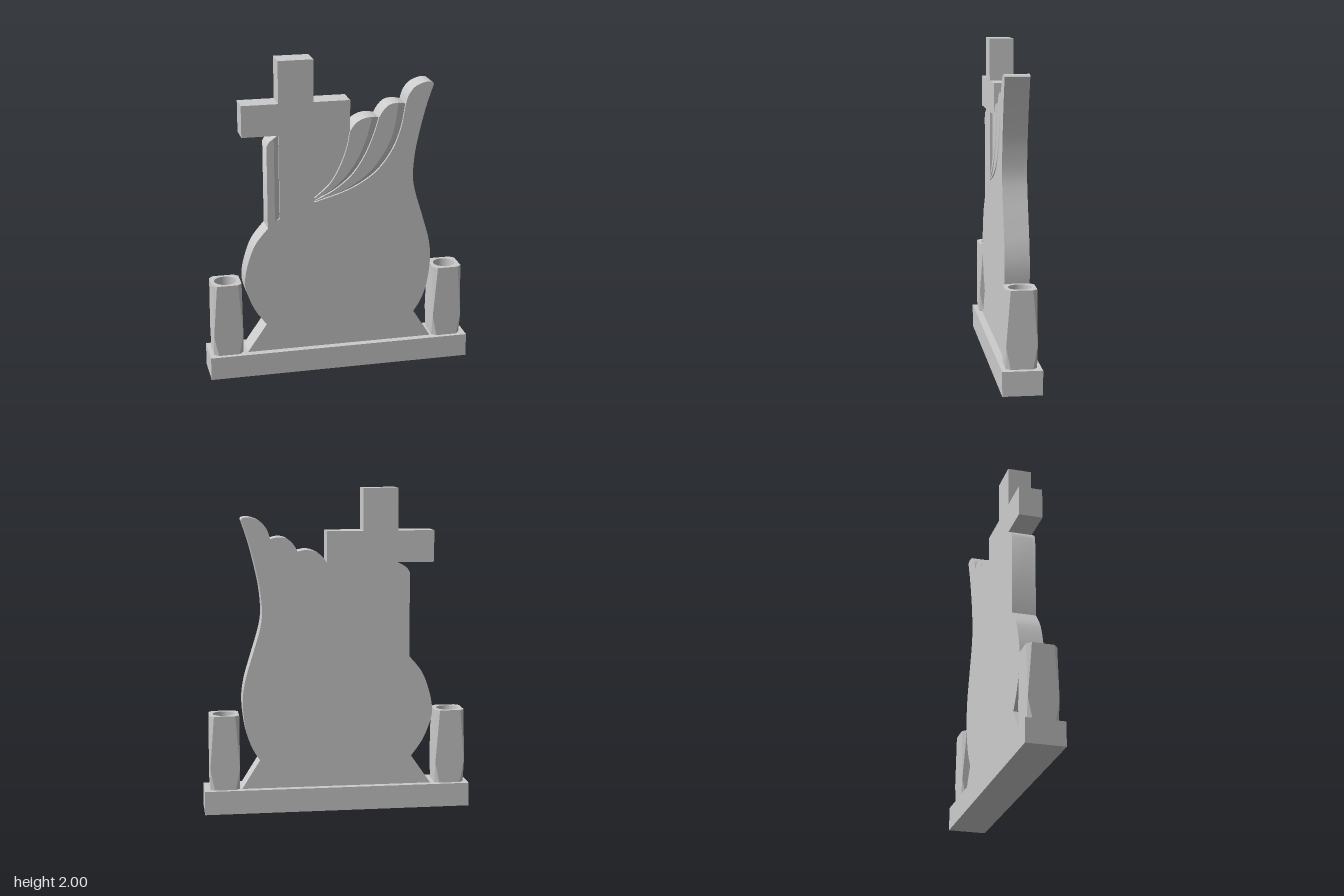
import * as THREE from 'three';
import { toCreasedNormals } from 'three/addons/utils/BufferGeometryUtils.js';

const BACK = -0.074, STEP = 0.058, FRONT = 0.074, BASE_TOP = 0.147;
const SUB = 6; // samples per spline span

const material = new THREE.MeshStandardMaterial({ color: 0xcccccc });
const openMaterial = new THREE.MeshStandardMaterial({ color: 0xcccccc, side: THREE.DoubleSide });

const toVectors = (pts) => pts.map(([x, y]) => new THREE.Vector2(x, y));
const smooth = (pts) => new THREE.SplineCurve(toVectors(pts)).getPoints((pts.length - 1) * SUB);
const reversed = (pts) => [...pts].reverse();

function addMesh(parent, name, geometry, mat = material) {
  const mesh = new THREE.Mesh(geometry, mat);
  mesh.name = name;
  parent.add(mesh);
  return mesh;
}

// Flat plate cut from an outline, between two depths
function plate(points, z0, z1) {
  const clean = points.filter((p, i) => i === 0 || p.distanceTo(points[i - 1]) > 1e-4);
  const g = new THREE.ExtrudeGeometry(new THREE.Shape(clean), { depth: z1 - z0, bevelEnabled: false });
  g.translate(0, 0, z0);
  return toCreasedNormals(g, 0.5);
}

// Sloping groove wall: falls from the front face (left curve) to the step (right curve)
function slope(left, right) {
  const pos = [], index = [];
  left.forEach((m, i) => {
    const r = right[i];
    pos.push(m.x, m.y, FRONT, r.x, r.y, STEP);
    if (i) {
      const a = 2 * i - 2;
      index.push(a, a + 2, a + 1, a + 1, a + 2, a + 3);
    }
  });
  // small triangle closing the upper end
  const n = pos.length / 3, m = left[0], r = right[0];
  pos.push(m.x, m.y, FRONT, r.x, r.y, STEP, m.x, m.y, STEP);
  index.push(n, n + 1, n + 2);
  const g = new THREE.BufferGeometry();
  g.setAttribute('position', new THREE.Float32BufferAttribute(pos, 3));
  g.setIndex(index);
  g.computeVertexNormals();
  return g;
}

// Square vase whose corner chamfers vanish at the widest level
function createVase() {
  const vase = new THREE.Group();
  const half = 0.092, top = 0.612, mouth = 0.069, depth = 0.3;
  const octagon = (c) => {
    const h = half, k = half - c;
    return [[h, -k], [h, k], [k, h], [-k, h], [-h, k], [-h, -k], [-k, -h], [k, -h]];
  };
  const levels = [[BASE_TOP, 0.027], [0.28, 0.0005], [top, 0.027]];
  const pos = [];
  for (let l = 0; l < 2; l++) {
    const [y0, c0] = levels[l], [y1, c1] = levels[l + 1];
    const lo = octagon(c0), hi = octagon(c1);
    for (let i = 0; i < 8; i++) {
      const j = (i + 1) % 8;
      const P = (p, y) => [p[0], y, -p[1]];
      const a = P(lo[i], y0), b = P(lo[j], y0), c = P(hi[j], y1), d = P(hi[i], y1);
      pos.push(...a, ...b, ...c, ...a, ...c, ...d);
    }
  }
  const body = new THREE.BufferGeometry();
  body.setAttribute('position', new THREE.Float32BufferAttribute(pos, 3));
  body.computeVertexNormals();
  addMesh(vase, 'vaseBody', body);

  const rim = new THREE.Shape(toVectors(octagon(0.027)));
  rim.holes.push(new THREE.Path().absarc(0, 0, mouth, 0, Math.PI * 2, true));
  addMesh(vase, 'vaseRim', new THREE.ShapeGeometry(rim, 16).rotateX(-Math.PI / 2).translate(0, top, 0));

  const bore = new THREE.CylinderGeometry(mouth, mouth, depth, 32, 1, true);
  addMesh(vase, 'vaseBore', bore.translate(0, top - depth / 2, 0), openMaterial);
  const floor = new THREE.CircleGeometry(mouth, 32).rotateX(-Math.PI / 2);
  addMesh(vase, 'vaseFloor', floor.translate(0, top - depth, 0));
  return vase;
}

export function createModel() {
  const model = new THREE.Group();
  model.name = 'gravestone';

  addMesh(model, 'base', new THREE.BoxGeometry(1.66, BASE_TOP, 0.237).translate(0, BASE_TOP / 2, 0));

  // Outline pieces, running clockwise from the lower left foot
  const leftSide = [
    ...toVectors([[-0.59, BASE_TOP]]),
    ...smooth([[-0.467, 0.325], [-0.54, 0.43], [-0.588, 0.55], [-0.598, 0.63],
      [-0.577, 0.74], [-0.53, 0.86], [-0.45, 0.96]]),
    ...smooth([[-0.45, 1.48], [-0.433, 1.508], [-0.405, 1.529]]),
  ];
  const cross = toVectors([[-0.375, 1.545], [-0.6, 1.545], [-0.6, 1.74], [-0.375, 1.74], [-0.375, 2],
    [-0.16, 2], [-0.16, 1.74], [0.065, 1.74], [0.065, 1.545]]);
  const tip1 = smooth([[0.065, 1.545], [0.1, 1.593], [0.15, 1.62], [0.2, 1.626], [0.245, 1.618]]);
  const tip2 = smooth([[0.245, 1.618], [0.272, 1.663], [0.312, 1.697], [0.365, 1.705], [0.412, 1.695]]);
  const tip3 = smooth([[0.412, 1.695], [0.43, 1.75], [0.47, 1.8], [0.53, 1.825], [0.575, 1.824], [0.587, 1.812]]);
  const rightSide = [
    ...smooth([[0.587, 1.812], [0.54, 1.67], [0.5, 1.51], [0.475, 1.38], [0.465, 1.24], [0.482, 1.13],
      [0.533, 0.96], [0.575, 0.81], [0.588, 0.68], [0.57, 0.52], [0.535, 0.41], [0.485, 0.325]]),
    ...toVectors([[0.597, BASE_TOP]]),
  ];

  // Feather edges, from the tips down to where they meet beside the stem
  const edge1 = smooth([[0.065, 1.545], [0.045, 1.44], [0.0, 1.32], [-0.06, 1.22], [-0.155, 1.135]]);
  const inner2 = smooth([[0.2, 1.626], [0.175, 1.52], [0.125, 1.39], [0.05, 1.275], [-0.04, 1.19], [-0.152, 1.123]]);
  const edge2 = smooth([[0.245, 1.618], [0.215, 1.52], [0.16, 1.39], [0.08, 1.27], [-0.03, 1.18], [-0.15, 1.12]]);
  const inner3 = smooth([[0.365, 1.705], [0.34, 1.54], [0.285, 1.405], [0.185, 1.275], [0.045, 1.182], [-0.15, 1.115]]);
  const edge3 = smooth([[0.412, 1.695], [0.383, 1.54], [0.325, 1.4], [0.22, 1.27], [0.06, 1.175], [-0.15, 1.11]]);

  const slab = new THREE.Group();
  slab.name = 'slab';
  model.add(slab);

  // Full-outline core, then the raised front layer on it
  addMesh(slab, 'slabCore', plate([...leftSide, ...cross, ...tip1, ...tip2, ...tip3, ...rightSide], BACK, STEP));

  const crossFront = cross.slice(0, 8);
  const stemSide = toVectors([[0.065, 1.545], [-0.16, 1.545], [-0.16, 1.11]]);
  const sideGroove = toVectors([[-0.405, 1.0], [-0.375, 1.018]]);
  addMesh(slab, 'slabFront', plate(
    [...leftSide, ...sideGroove, ...crossFront, ...stemSide, ...reversed(edge3), ...tip3, ...rightSide], STEP, FRONT));

  // Raised feathers with sloping grooves beside them
  const crest = 3 * SUB + 1;
  addMesh(slab, 'upperFeather', plate([...edge1, ...reversed(inner2), ...reversed(tip1.slice(0, crest))], STEP, FRONT));
  addMesh(slab, 'middleFeather', plate([...edge2, ...reversed(inner3), ...reversed(tip2.slice(0, crest))], STEP, FRONT));
  addMesh(slab, 'upperFeatherSlope', slope(inner2, edge2), openMaterial);
  addMesh(slab, 'middleFeatherSlope', slope(inner3, edge3), openMaterial);
  addMesh(slab, 'stemGroove', slope(
    toVectors([[-0.405, 1.529], [-0.405, 1.0]]), toVectors([[-0.375, 1.545], [-0.375, 1.018]])), openMaterial);

  // Vases at both ends
  for (const [name, x] of [['rightVase', -0.711], ['leftVase', 0.702]]) {
    const vase = createVase();
    vase.name = name;
    vase.position.x = x;
    model.add(vase);
  }
  return model;
}
